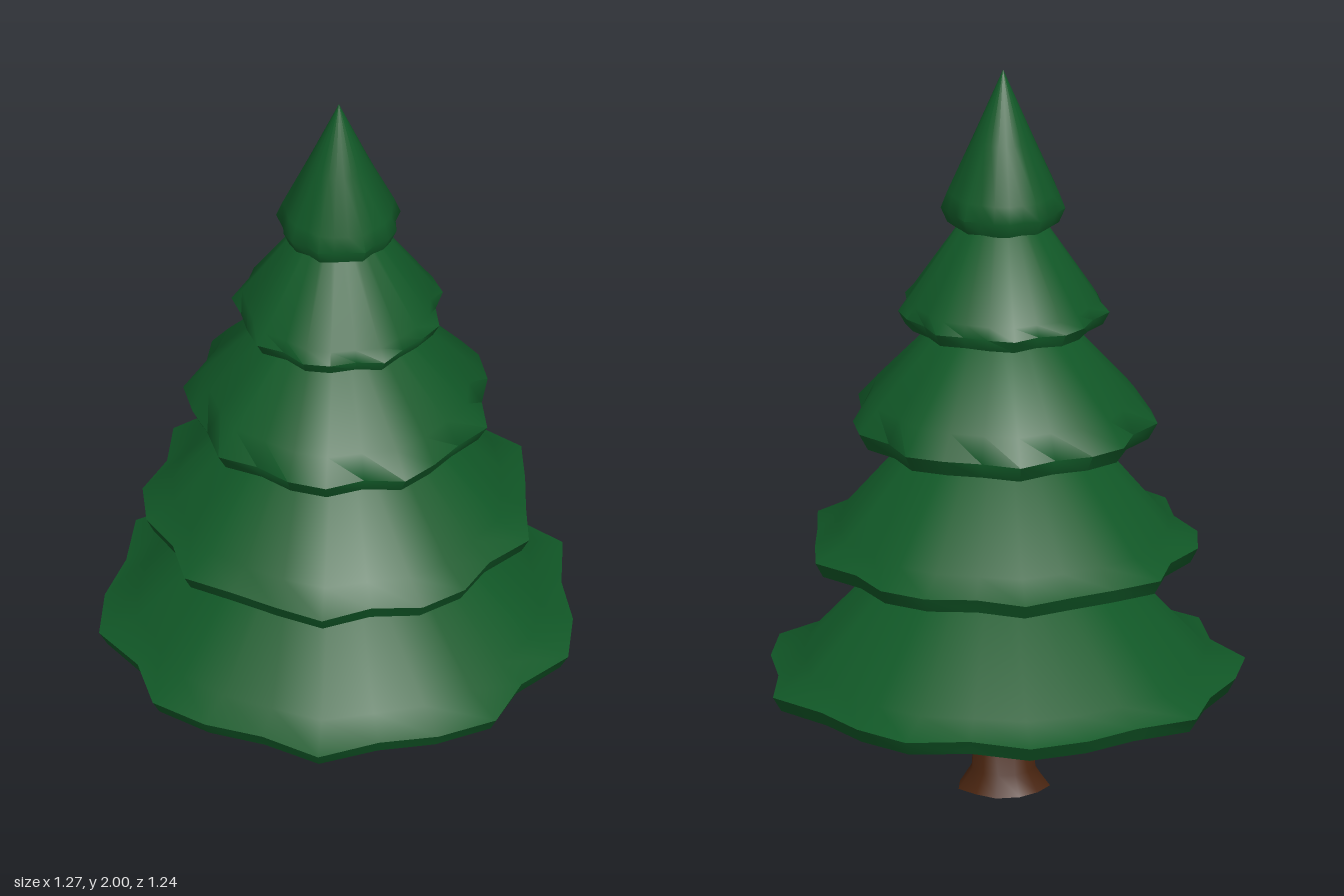
import * as THREE from 'three';
import { toCreasedNormals } from 'three/addons/utils/BufferGeometryUtils.js';

// Loft of rings [radius, height, lobe strength]; the lobes ripple the radius around the axis.
function lobedLoft(rings, sides, lobes, phase) {
  const positions = [], index = [];
  for (const [radius, y, strength] of rings) {
    for (let j = 0; j < sides; j++) {
      const a = (j / sides) * Math.PI * 2;
      const r = radius * (1 + strength * Math.cos(lobes * a - phase));
      positions.push(r * Math.cos(a), y, r * Math.sin(a));
    }
  }
  for (let i = 0; i < rings.length - 1; i++) {
    for (let j = 0; j < sides; j++) {
      const k = (j + 1) % sides;
      const a = i * sides + j, b = i * sides + k;
      const c = a + sides, d = b + sides;
      if (rings[i][0] > 0) index.push(a, b, c);
      if (rings[i + 1][0] > 0) index.push(b, d, c);
    }
  }
  const geometry = new THREE.BufferGeometry();
  geometry.setAttribute('position', new THREE.Float32BufferAttribute(positions, 3));
  geometry.setIndex(index);
  return toCreasedNormals(geometry, THREE.MathUtils.degToRad(58));
}

export function createModel() {
  const tree = new THREE.Group();
  tree.name = 'pineTree';

  const needleGreen = new THREE.MeshStandardMaterial({ color: 0x115827 });
  needleGreen.name = 'needleGreen';
  const barkBrown = new THREE.MeshStandardMaterial({ color: 0x4a2510 });
  barkBrown.name = 'barkBrown';

  // Trunk with a flared foot
  const trunk = new THREE.Mesh(lobedLoft([
    [0, 0.4, 0], [0.062, 0.4, 0], [0.067, 0.28, 0], [0.085, 0.05, 0.02], [0.12, 0, 0.05], [0, 0, 0],
  ], 12, 5, 0), barkBrown);
  trunk.name = 'trunk';
  tree.add(trunk);

  // Branch tiers, bottom to top: upper ring, shoulder, rim and underside edge as [radius, height]
  const tiers = [
    [[0.20, 0.735], [0.53, 0.365], [0.619, 0.325], [0.598, 0.285]],
    [[0.15, 1.075], [0.435, 0.73], [0.507, 0.685], [0.488, 0.645]],
    [[0.10, 1.37], [0.35, 1.095], [0.395, 1.03], [0.372, 0.985]],
    [[0.06, 1.65], [0.25, 1.365], [0.27, 1.335], [0.253, 1.3]],
    [[0.08, 1.81], [0.145, 1.665], [0.158, 1.62], [0.142, 1.58]],
  ];
  tiers.forEach(([upper, shoulder, rim, edge], i) => {
    const tip = i === tiers.length - 1 ? 2 : upper[1];
    const mesh = new THREE.Mesh(lobedLoft([
      [0, tip, 0],
      [...upper, 0],
      [...shoulder, 0.025],
      [...rim, 0.053],
      [...edge, 0.05],
      [0, edge[1], 0],
    ], 24, 9, i * 0.47), needleGreen);
    mesh.name = `branchTier${i + 1}`;
    tree.add(mesh);
  });

  // The ripple is uneven left to right, so the trunk axis sits slightly off centre
  for (const part of tree.children) part.position.x = -0.018;
  return tree;
}
